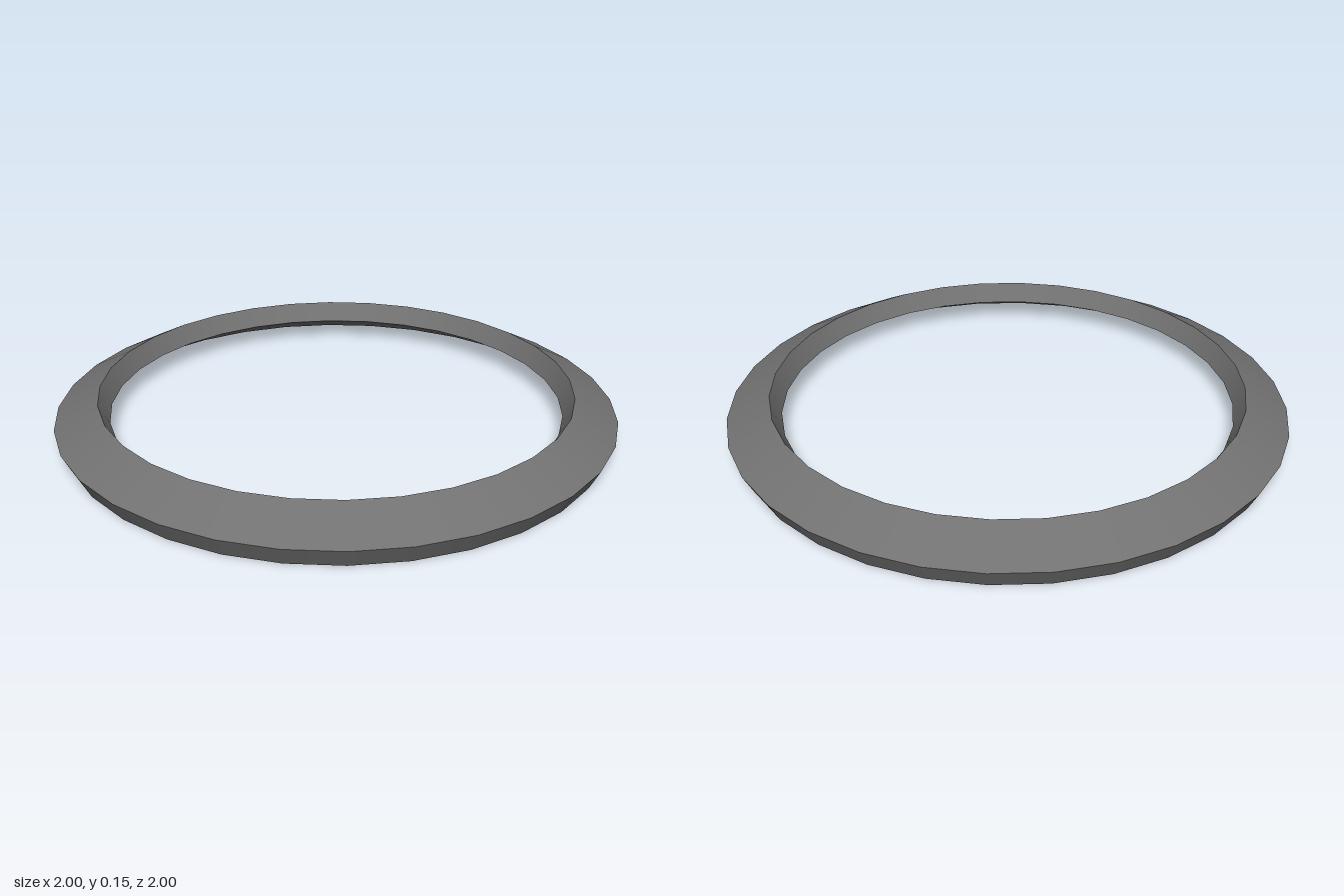
import * as THREE from 'three';
import { mergeGeometries } from 'three/addons/utils/BufferGeometryUtils.js';

// Tilted rectangular section as [radius, height], going up the outside
const SECTION = [[0.965, 0], [1, 0.07], [0.845, 0.15], [0.807, 0.08]];
const SEGMENTS = 32;

export function createModel() {
  const group = new THREE.Group();
  group.name = 'bevelledRing';

  // One lathed band per side: smooth around the ring, sharp between sides
  const bands = SECTION.map((point, i) => {
    const next = SECTION[(i + 1) % SECTION.length];
    const profile = [point, next].map(([r, y]) => new THREE.Vector2(r, y));
    return new THREE.LatheGeometry(profile, SEGMENTS);
  });

  // Dark grey finish
  const material = new THREE.MeshStandardMaterial({ color: 0x727272 });
  const ring = new THREE.Mesh(mergeGeometries(bands), material);
  ring.name = 'ring';
  group.add(ring);
  return group;
}
